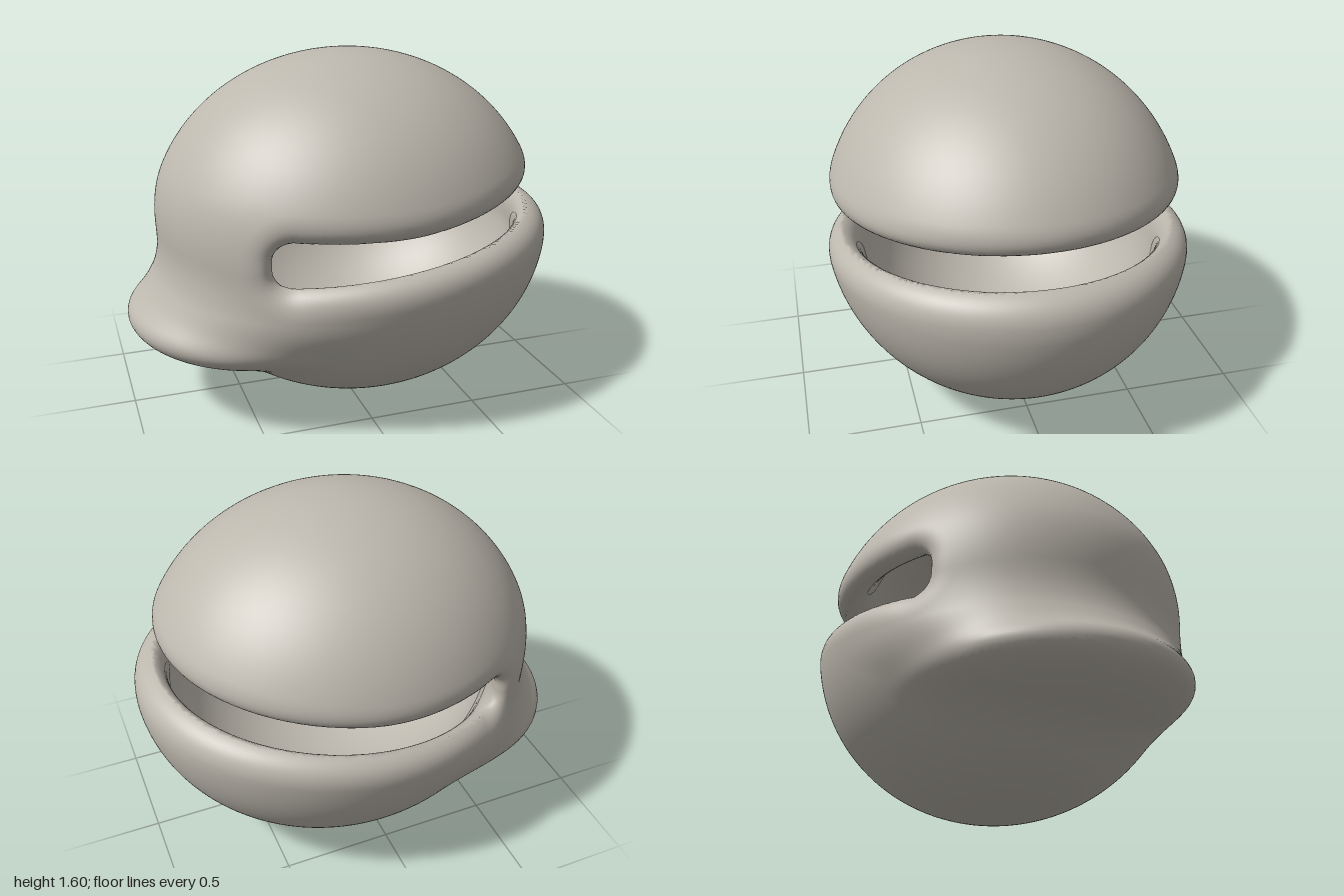
import * as THREE from 'three';

const lerp = THREE.MathUtils.lerp;
const smooth = THREE.MathUtils.smoothstep;

// Soft union and soft intersection of two distances
const softMin = (a, b, k) => {
  const h = Math.max(k - Math.abs(a - b), 0) / k;
  return Math.min(a, b) - h * h * k / 4;
};
const softMax = (a, b, k) => -softMin(-a, -b, k);

// Approximate distance to an ellipsoid
function ellipsoid(x, y, z, rx, ry, rz) {
  const k0 = Math.hypot(x / rx, y / ry, z / rz);
  const k1 = Math.hypot(x / rx ** 2, y / ry ** 2, z / rz ** 2);
  return k1 < 1e-6 ? -Math.min(rx, ry, rz) : k0 * (k0 - 1) / k1;
}

// Mouth slot: rounded end at the left, gently rising lips to the right
function slot(x, y) {
  const low = 0.798 + 0.12 * x;
  const s = x - 0.1;
  const high = 0.925 + 0.06 * (s + Math.sqrt(s * s + 0.02));
  const r = 0.075;
  const qx = -0.46 - x + r;
  const qy = Math.abs(y - (low + high) / 2) - (high - low) / 2 + r;
  return Math.hypot(Math.max(qx, 0), Math.max(qy, 0)) + Math.min(Math.max(qx, qy), 0) - r;
}

// Hollow round body + flat rounded brim at the back, cut open by the slot
function field(x, y, z) {
  const t = smooth(y, 0.7, 1.1);
  const body = ellipsoid(x - lerp(0.08, 0.04, t), y - 0.8, z,
    lerp(0.92, 0.91, t), 0.8, lerp(0.83, 0.825, t));
  const brim = ellipsoid(x + 0.42, y - 0.43, z, 0.58, 0.19, 0.6);
  const outer = softMin(body, brim, lerp(0.08, 0.24, smooth(y, 0.3, 0.6)));
  const shell = Math.max(outer, -(body + 0.15));
  return softMax(shell, -slot(x, y), 0.14);
}

function gradient(x, y, z) {
  const e = 0.004;
  return new THREE.Vector3(
    field(x + e, y, z) - field(x - e, y, z),
    field(x, y + e, z) - field(x, y - e, z),
    field(x, y, z + e) - field(x, y, z - e)
  ).divideScalar(2 * e);
}

// Skin the field: one vertex per crossed cell, one quad per crossed edge
function skin(min, max, step) {
  const n = [0, 1, 2].map(i => Math.ceil((max[i] - min[i]) / step) + 1);
  const stride = [1, n[0], n[0] * n[1]];
  const total = n[0] * n[1] * n[2];
  const values = new Float32Array(total);
  const cellVertex = new Int32Array(total).fill(-1);
  const positions = [], normals = [], index = [];

  const each = (from, less, fn) => {
    for (let k = from; k < n[2] - less; k++)
      for (let j = from; j < n[1] - less; j++)
        for (let i = from; i < n[0] - less; i++)
          fn(i, j, k, i + j * stride[1] + k * stride[2]);
  };

  each(0, 0, (i, j, k, id) => {
    values[id] = field(min[0] + i * step, min[1] + j * step, min[2] + k * step);
  });

  // Vertices
  each(0, 1, (i, j, k, id) => {
    const sum = [0, 0, 0];
    let count = 0;
    for (let c = 0; c < 8; c++) {
      for (let a = 0; a < 3; a++) {
        if (c >> a & 1) continue;
        const bits = [c & 1, c >> 1 & 1, c >> 2 & 1];
        const start = id + bits[0] + bits[1] * stride[1] + bits[2] * stride[2];
        const f0 = values[start], f1 = values[start + stride[a]];
        if ((f0 < 0) === (f1 < 0)) continue;
        bits[a] += f0 / (f0 - f1);
        bits.forEach((b, m) => { sum[m] += b; });
        count++;
      }
    }
    if (!count) return;
    const p = new THREE.Vector3(
      min[0] + (i + sum[0] / count) * step,
      min[1] + (j + sum[1] / count) * step,
      min[2] + (k + sum[2] / count) * step);
    // Settle the vertex onto the surface
    const g = gradient(p.x, p.y, p.z);
    const move = -field(p.x, p.y, p.z) / Math.max(g.lengthSq(), 0.2);
    p.addScaledVector(g, THREE.MathUtils.clamp(move, -step / 2, step / 2));
    const normal = gradient(p.x, p.y, p.z).normalize();
    cellVertex[id] = positions.length / 3;
    positions.push(p.x, p.y, p.z);
    normals.push(normal.x, normal.y, normal.z);
  });

  // Faces
  each(1, 1, (i, j, k, id) => {
    for (let a = 0; a < 3; a++) {
      const inside = values[id] < 0;
      if (inside === (values[id + stride[a]] < 0)) continue;
      const u = stride[(a + 1) % 3], v = stride[(a + 2) % 3];
      const q = [id, id - u, id - u - v, id - v].map(c => cellVertex[c]);
      if (!inside) q.reverse();
      index.push(q[0], q[1], q[2], q[0], q[2], q[3]);
    }
  });

  const geometry = new THREE.BufferGeometry();
  geometry.setAttribute('position', new THREE.Float32BufferAttribute(positions, 3));
  geometry.setAttribute('normal', new THREE.Float32BufferAttribute(normals, 3));
  geometry.setIndex(index);
  return geometry;
}

export function createModel() {
  const group = new THREE.Group();
  group.name = 'slottedShell';
  const stone = new THREE.MeshStandardMaterial({ color: 0xbdb8ae });
  stone.name = 'warm grey';

  // One continuous shell: upper dome, lower bowl, back hinge and brim
  const shell = new THREE.Mesh(skin([-1.07, -0.07, -0.91], [1.07, 1.67, 0.91], 0.02), stone);
  shell.name = 'shell';
  group.add(shell);
  return group;
}
